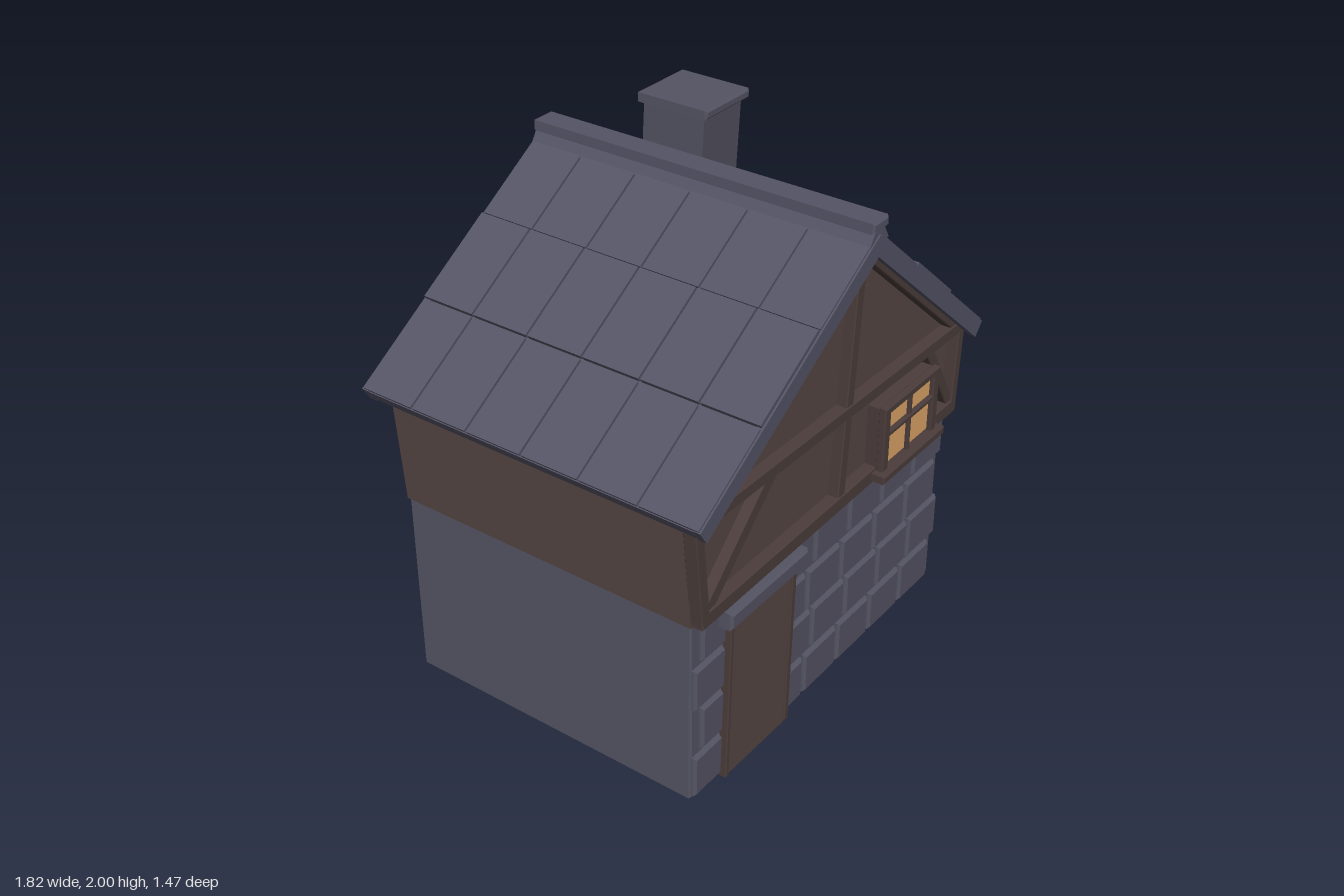
import * as THREE from 'three';

const mat = (name, color) => Object.assign(new THREE.MeshStandardMaterial({ color }), { name });

export function createModel() {
  const stone = mat('stone', 0x555464);
  const roof = mat('roof slate', 0x555466);
  const plaster = mat('brown wall', 0x574745);
  const timber = mat('dark timber', 0x4b3d3b);
  const glow = mat('lit glass', 0xe0a668);
  const house = new THREE.Group();
  house.name = 'cottage';

  // Prism from an outline in x/y between two depths, with an optional bevel
  function prism(name, material, pts, z0, z1, bevel = 0, parent = house) {
    const shape = new THREE.Shape(pts.map(([x, y]) => new THREE.Vector2(x, y)));
    const geo = new THREE.ExtrudeGeometry(shape, {
      depth: z1 - z0 - 2 * bevel, bevelEnabled: bevel > 0, bevelSize: bevel,
      bevelThickness: bevel, bevelOffset: -bevel, bevelSegments: 1,
    });
    geo.translate(0, 0, z0 + bevel);
    const mesh = new THREE.Mesh(geo, material);
    mesh.name = name;
    parent.add(mesh);
    return mesh;
  }
  const rect = (x0, y0, x1, y1) => [[x0, y0], [x1, y0], [x1, y1], [x0, y1]];

  // Straight beam on the front between two points
  function beam(name, [ax, ay], [bx, by], w, z0, z1) {
    const l = Math.hypot(bx - ax, by - ay);
    const nx = -(by - ay) / l * w / 2, ny = (bx - ax) / l * w / 2;
    return prism(name, timber, [[ax - nx, ay - ny], [bx - nx, by - ny],
      [bx + nx, by + ny], [ax + nx, ay + ny]], z0, z1, 0.004);
  }

  // Ground floor and its coursed front stones
  prism('groundFloor', stone, rect(-0.825, 0.005, 0.82, 0.785), -0.64, 0.63, 0.008);
  const stones = new THREE.Group();
  stones.name = 'frontStones';
  house.add(stones);
  [[0.02, 0.195], [0.215, 0.395], [0.41, 0.585], [0.605, 0.78]].forEach(([y0, y1], row) => {
    for (let i = 0; i < 7; i++) {
      const x = (row % 2 ? -0.778 : -0.82) + i * 0.2305;
      prism('frontStone', stone, rect(x, y0, x + 0.215, y1), 0.615, 0.648, 0.01, stones);
    }
  });

  // Upper floor and gable
  prism('upperWall', plaster, [[-0.828, 0.77], [0.828, 0.77], [0.86, 1.15],
    [0.10, 1.82], [-0.86, 1.215]], -0.645, 0.632);

  // Crooked timber frame
  const z0 = 0.625, z1 = 0.68;
  beam('bottomBeam', [-0.825, 0.81], [0.84, 0.825], 0.06, z0, z1);
  beam('middleBeam', [-0.86, 1.205], [0.86, 1.172], 0.05, z0, z1);
  beam('leftPost', [-0.805, 0.8], [-0.845, 1.2], 0.045, z0, z1);
  beam('rightPost', [0.825, 0.8], [0.845, 1.16], 0.04, z0, z1);
  beam('centrePost', [0.022, 0.83], [0.095, 1.8], 0.045, z0, z1 - 0.004);
  beam('leftBrace', [-0.78, 0.84], [-0.41, 1.19], 0.055, z0, z1 - 0.008);
  beam('rightBrace', [0.615, 1.17], [0.815, 0.84], 0.045, z0, z1 - 0.008);
  beam('leftRafter', [-0.86, 1.2], [0.10, 1.795], 0.04, z0, z1 - 0.006);
  beam('rightRafter', [0.86, 1.14], [0.10, 1.795], 0.04, z0, z1 - 0.006);

  // Leaning door with side posts and lintel
  prism('door', plaster, [[-0.665, 0.008], [-0.29, 0], [-0.26, 0.71], [-0.64, 0.71]], 0.635, 0.664, 0.004);
  beam('doorPostLeft', [-0.66, 0.012], [-0.637, 0.71], 0.02, 0.635, 0.672);
  beam('doorPostRight', [-0.285, 0.012], [-0.258, 0.71], 0.026, 0.635, 0.672);
  prism('doorLintel', stone, rect(-0.69, 0.7, -0.22, 0.77), 0.63, 0.702, 0.01);

  // Window
  prism('windowBack', timber, rect(0.25, 0.825, 0.63, 1.1), 0.63, 0.685);
  prism('windowGlass', glow, rect(0.285, 0.845, 0.597, 1.075), 0.685, 0.692);
  beam('windowFrameLeft', [0.268, 0.825], [0.268, 1.1], 0.04, 0.68, 0.71);
  beam('windowFrameRight', [0.616, 0.825], [0.616, 1.1], 0.04, 0.68, 0.71);
  beam('windowFrameTop', [0.248, 1.09], [0.636, 1.09], 0.03, 0.68, 0.71);
  beam('windowBarUpright', [0.44, 0.835], [0.44, 1.08], 0.018, 0.685, 0.706);
  beam('windowBarCross', [0.28, 0.985], [0.6, 0.985], 0.02, 0.685, 0.71);
  beam('windowSill', [0.22, 0.822], [0.66, 0.822], 0.032, 0.66, 0.735);

  // Roof slopes: slab, end boards and three courses of slates
  const apex = [0.10, 1.868];
  const slopes = [
    { name: 'left', eave: [-0.908, 1.24], rows: [-0.908, -0.57, -0.24, 0.095], sign: -1 },
    { name: 'right', eave: [0.905, 1.178], rows: [0.905, 0.64, 0.375, 0.105], sign: 1 },
  ];
  const cuts = [-0.732, -0.5, -0.252, -0.01, 0.235, 0.48, 0.725];
  for (const { name, eave, rows, sign } of slopes) {
    const dx = eave[0] - apex[0], dy = eave[1] - apex[1], len = Math.hypot(dx, dy);
    const n = [-dy / len * sign, dx / len * sign];
    const at = (x, h) => {
      const y = apex[1] + (x - apex[0]) * dy / dx;
      return [x + n[0] * h, y + n[1] * h];
    };
    const strip = (x0, x1, h0, h1) => {
      const p = [at(x0, h0), at(x1, h0), at(x1, h1), at(x0, h1)];
      return THREE.ShapeUtils.area(p.map(([x, y]) => ({ x, y }))) < 0 ? p.reverse() : p;
    };
    prism(name + 'RoofSlab', roof, strip(eave[0], apex[0], -0.05, 0), -0.73, 0.723);
    for (const [a, b] of [[-0.735, -0.705], [0.7, 0.728]]) {
      prism(name + 'EndBoard', roof, strip(eave[0], apex[0], -0.062, 0.004), a, b);
    }
    for (let r = 0; r < 3; r++) {
      const top = r === 1 ? 0.02 : 0.011;
      for (let c = 0; c < 6; c++) {
        prism(name + 'Slate', roof, strip(rows[r] + sign * -0.003, rows[r + 1] + sign * 0.003, -0.003, top),
          cuts[c] + 0.004, cuts[c + 1] - 0.004);
      }
    }
  }
  prism('ridgeBase', roof, [[0.04, 1.84], [0.16, 1.84], [0.13, 1.89], [0.07, 1.89]], -0.73, 0.723);
  prism('ridgeCap', roof, rect(0.055, 1.885, 0.152, 1.925), -0.735, 0.727, 0.008);

  // Leaning chimney and cap
  const stack = new THREE.BoxGeometry(0.232, 0.6, 0.275);
  stack.translate(0, 1.67, 0);
  const p = stack.attributes.position;
  for (let i = 0; i < p.count; i++) {
    const t = (p.getY(i) - 1.44) / 0.52;
    p.setX(i, p.getX(i) + 0.51 - 0.02 * t);
    p.setZ(i, p.getZ(i) - 0.372 + 0.045 * t);
  }
  stack.computeVertexNormals();
  const chimney = new THREE.Mesh(stack, stone);
  chimney.name = 'chimney';
  house.add(chimney);
  prism('chimneyCap', stone, rect(0.345, 1.963, 0.62, 2), -0.478, -0.16, 0.008);

  return house;
}
